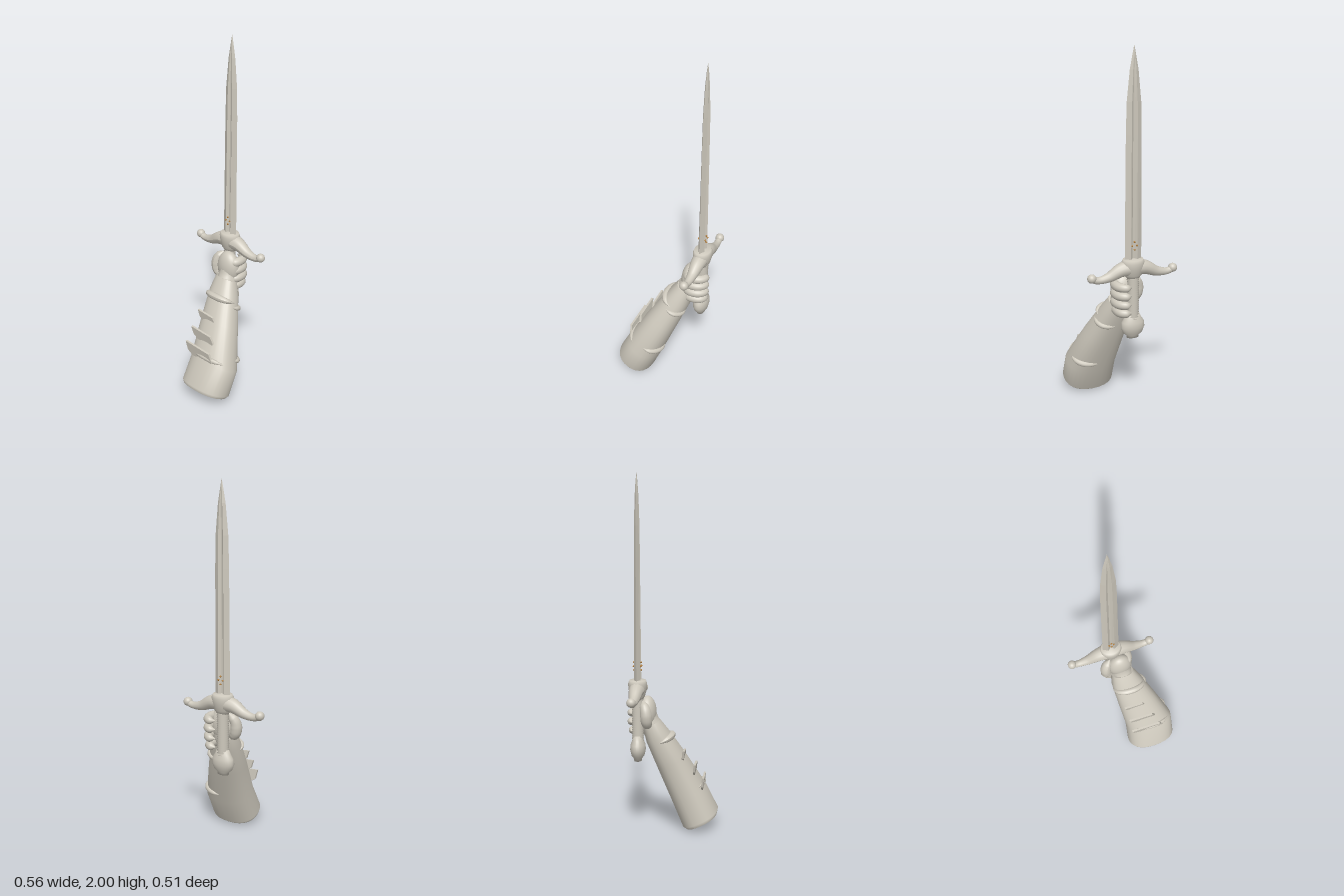
import * as THREE from 'three';

const stone = new THREE.MeshStandardMaterial({ color: 0xcdc8bc });
stone.name = 'warm grey';
stone.side = THREE.DoubleSide;
const brass = new THREE.MeshStandardMaterial({ color: 0xb07a35 });
brass.name = 'brass';

const V = (x, y, z) => new THREE.Vector3(x, y, z);
const SX = -0.022, SZ = -0.19; // sword axis

function add(parent, name, geo, mat = stone) {
  const m = new THREE.Mesh(geo, mat);
  m.name = name;
  parent.add(m);
  return m;
}

// Skin a stack of equal-length rings, with flat caps
function loft(rings, flat = false) {
  const n = rings[0].length, pos = [], idx = [];
  const put = (p) => pos.push(p.x, p.y, p.z);
  rings.forEach((r) => r.forEach(put));
  for (let i = 0; i < rings.length - 1; i++) {
    for (let j = 0; j < n; j++) {
      const a = i * n + j, b = i * n + (j + 1) % n;
      idx.push(a, a + n, b, b, a + n, b + n);
    }
  }
  [rings[0], rings[rings.length - 1]].forEach((r, k) => {
    const s = pos.length / 3;
    r.forEach(put);
    put(r.reduce((c, p) => c.add(p), V(0, 0, 0)).divideScalar(n));
    for (let j = 0; j < n; j++) {
      const a = s + j, b = s + (j + 1) % n;
      if (k) idx.push(s + n, b, a); else idx.push(s + n, a, b);
    }
  });
  let g = new THREE.BufferGeometry();
  g.setAttribute('position', new THREE.Float32BufferAttribute(pos, 3));
  g.setIndex(idx);
  if (flat) g = g.toNonIndexed();
  g.computeVertexNormals();
  return g;
}

// Tube whose radius follows a list of values along its path
function limb(points, radii, sides = 14) {
  const n = 28, curve = new THREE.CatmullRomCurve3(points);
  const g = new THREE.TubeGeometry(curve, n, 1, sides);
  const p = g.attributes.position, v = V(0, 0, 0);
  for (let i = 0; i <= n; i++) {
    const c = curve.getPointAt(i / n), f = (i / n) * (radii.length - 1);
    const k = Math.min(Math.floor(f), radii.length - 2);
    const r = THREE.MathUtils.lerp(radii[k], radii[k + 1], f - k);
    for (let j = 0; j <= sides; j++) {
      const q = i * (sides + 1) + j;
      v.fromBufferAttribute(p, q).sub(c).multiplyScalar(r).add(c);
      p.setXYZ(q, v.x, v.y, v.z);
    }
  }
  g.computeVertexNormals();
  return g;
}

function lathe(points, sides = 28) {
  return new THREE.LatheGeometry(points.map(([r, y]) => new THREE.Vector2(r, y)), sides);
}

function buildSword() {
  const g = new THREE.Group();
  g.name = 'sword';
  g.position.set(SX, 0, SZ);

  // Blade: sharp edges, two ridges and a sunken fuller on each face
  const rows = [[0.86, 0.048, 0.018, 0.004], [1.55, 0.044, 0.014, 0.004], [1.72, 0.04, 0.013, 0.004],
    [1.88, 0.024, 0.009, 0.006], [1.95, 0.011, 0.005, 0.005], [2.0, 0.0008, 0.0008, 0.0008]];
  const rings = rows.map(([y, w, t, f]) => [
    [w, 0], [w * 0.38, t], [w * 0.1, f], [-w * 0.1, f], [-w * 0.38, t],
    [-w, 0], [-w * 0.38, -t], [-w * 0.1, -f], [w * 0.1, -f], [w * 0.38, -t],
  ].map(([x, z]) => V(x, y, z)));
  add(g, 'blade', loft(rings, true));

  // Small studs on both faces of the blade root
  for (const s of [-1, 1]) {
    for (const [x, y] of [[-0.014, 0.957], [0.014, 0.957], [0, 0.978], [0, 0.935]]) {
      const stud = add(g, 'stud', new THREE.SphereGeometry(0.005, 10, 8), brass);
      stud.position.set(x, y, s * 0.02);
    }
  }

  // Crossguard: central collar and drooping arms with ball ends
  add(g, 'guardCollar', lathe([[0, 0.77], [0.035, 0.77], [0.05, 0.79], [0.062, 0.83], [0.064, 0.86],
    [0.056, 0.878], [0, 0.882]])).scale.z = 0.82;
  for (const s of [-1, 1]) {
    const arm = limb([V(0, 0.832, 0), V(s * 0.07, 0.822, 0), V(s * 0.14, 0.79, 0),
      V(s * 0.2, 0.781, 0), V(s * 0.238, 0.792, 0)], [0.046, 0.042, 0.035, 0.027, 0.02, 0.018]);
    add(g, 'guardArm', arm);
    const ball = add(g, 'guardBall', new THREE.SphereGeometry(0.025, 18, 14));
    ball.position.set(s * 0.236, 0.796, 0);
  }

  // Wire-wound grip
  const grip = [];
  for (let i = 0; i <= 40; i++) grip.push([0.029 + (i % 2) * 0.005, 0.53 + i * 0.0062]);
  add(g, 'grip', lathe(grip, 20));

  // Flattened pommel with a small end cap
  add(g, 'pommel', lathe([[0, 0.422], [0.034, 0.422], [0.036, 0.435], [0.056, 0.452], [0.068, 0.485],
    [0.064, 0.515], [0.048, 0.54], [0.036, 0.565], [0, 0.567]])).scale.z = 0.64;
  return g;
}

function buildHand() {
  const g = new THREE.Group();
  g.name = 'hand';
  const palm = add(g, 'palm', new THREE.SphereGeometry(1, 24, 18));
  palm.scale.set(0.072, 0.095, 0.052);
  palm.position.set(0.015, 0.69, -0.142);
  add(g, 'wrist', limb([V(0.015, 0.7, -0.14), V(0.02, 0.64, -0.13), V(0.03, 0.55, -0.09)],
    [0.045, 0.058, 0.06]));

  // Four fingers curling round the far side of the grip
  for (let i = 0; i < 4; i++) {
    const y = 0.582 + i * 0.05, out = i === 0 ? -0.008 : 0;
    add(g, 'finger', limb([V(0.045, y - 0.005, -0.115), V(0.07 + out, y, -0.16), V(0.062 + out, y, -0.21),
      V(0.035, y, -0.235 - out), V(0.0, y, -0.231)], [0.012, 0.026, 0.026, 0.026, 0.024, 0.022, 0.002]));
  }
  // Thumb on the near side
  add(g, 'thumb', limb([V(-0.03, 0.61, -0.13), V(-0.066, 0.65, -0.135), V(-0.07, 0.71, -0.14),
    V(-0.04, 0.765, -0.16)], [0.005, 0.026, 0.032, 0.033, 0.03, 0.025, 0.003]));
  return g;
}

// Sleeve sections: centre x, y, z, half width, half depth
const SLEEVE = [[0.12, 0.045, 0.157, 0.136, 0.1], [0.122, 0.062, 0.15, 0.147, 0.112],
  [0.126, 0.2, 0.085, 0.146, 0.106], [0.075, 0.4, -0.01, 0.116, 0.088],
  [0.036, 0.55, -0.085, 0.09, 0.07], [0.022, 0.625, -0.118, 0.066, 0.052]];

function sleeveAt(y) {
  let i = 0;
  while (i < SLEEVE.length - 2 && SLEEVE[i + 1][1] < y) i++;
  const a = SLEEVE[i], b = SLEEVE[i + 1], t = (y - a[1]) / (b[1] - a[1]);
  return a.map((q, k) => THREE.MathUtils.lerp(q, b[k], t));
}

// Point on a tilted, slightly squared sleeve section
function sleevePoint([cx, cy, cz, rx, rd], angle) {
  const sq = (q) => Math.sign(q) * Math.abs(q) ** 0.86;
  const c = sq(Math.cos(angle)) * rx, s = sq(Math.sin(angle)) * rd;
  return V(cx + c, cy + s * 0.43, cz + s * 0.9);
}

function buildSleeve() {
  const g = new THREE.Group();
  g.name = 'arm';
  const N = 28;
  add(g, 'sleeve', loft(SLEEVE.map((s) =>
    Array.from({ length: N }, (_, j) => sleevePoint(s, (j / N) * Math.PI * 2)))));

  // Folds running over the cloth: height, start angle, end angle, thickness
  for (const [y, a, b, r] of [[0.525, 0.1, 3.1, 0.02], [0.5, -1.5, 0.2, 0.014],
    [0.25, -1.5, -0.1, 0.016], [0.225, 0.6, 2.2, 0.014]]) {
    const pts = [];
    for (let i = 0; i <= 8; i++) pts.push(sleevePoint(sleeveAt(y), a + ((b - a) * i) / 8));
    add(g, 'fold', limb(pts, [0.002, r * 0.8, r, r, r * 0.8, 0.002], 10));
  }

  // Upright torn flaps on the front: left, right, bottom, top, depth
  for (const [x0, x1, y0, y1, z] of [[-0.022, 0.112, 0.405, 0.48, 0.062],
    [-0.012, 0.155, 0.325, 0.4, 0.124], [-0.01, 0.19, 0.24, 0.325, 0.17]]) {
    const s = new THREE.Shape();
    s.moveTo(x0, y1);
    s.lineTo(x1 - 0.02, y1 - 0.012);
    s.lineTo(x1, y0 + 0.02);
    s.lineTo(x1 - 0.025, y0);
    s.lineTo(x0 + 0.045, y0 + 0.006);
    s.lineTo(x0 + 0.012, y0 + 0.03);
    const flap = new THREE.ExtrudeGeometry(s, { depth: 0.012, bevelEnabled: false });
    // Lean the lower edge back into the sleeve
    flap.translate(0, -y0, 0).rotateX(0.12).translate(0, y0, z - 0.012);
    add(g, 'flap', flap);
  }
  return g;
}

export function createModel() {
  const model = new THREE.Group();
  model.name = 'armWithSword';
  model.add(buildSword(), buildHand(), buildSleeve());
  return model;
}
